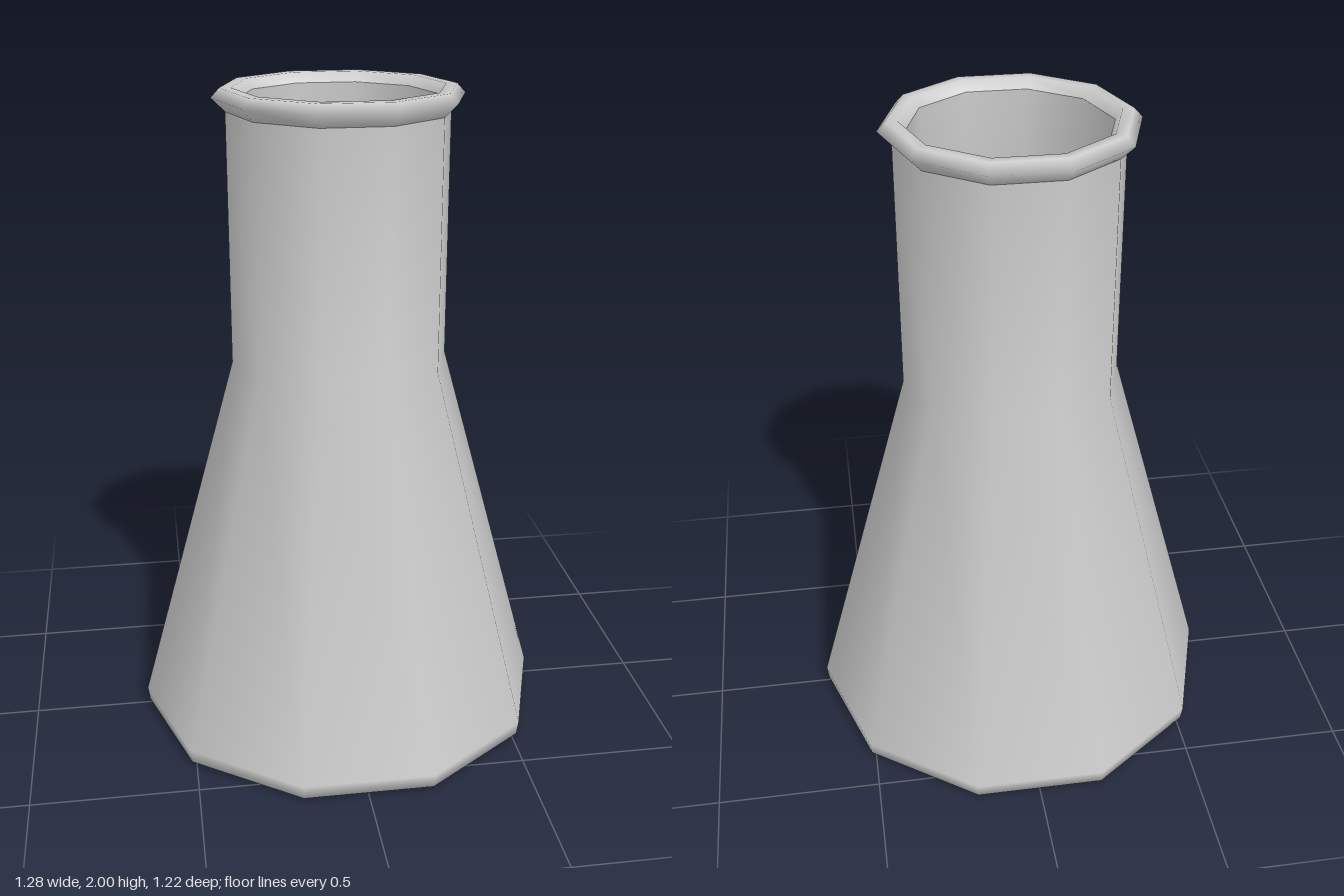
import * as THREE from 'three';

const SIDES = 10;

// Ten-sided turned part with a corner on +x
function turned(name, profile, material) {
  const points = profile.map(([r, y]) => new THREE.Vector2(r, y));
  const mesh = new THREE.Mesh(new THREE.LatheGeometry(points, SIDES, Math.PI / 2), material);
  mesh.name = name;
  return mesh;
}

export function createModel() {
  const group = new THREE.Group();
  group.name = 'conicalFlask';
  const material = new THREE.MeshStandardMaterial({ color: 0xcccccc, side: THREE.DoubleSide });

  // Flat base with a softly rounded foot, sloping body and straight neck
  group.add(turned('outerWall', [
    [0, 0], [0.59, 0], [0.635, 0.012], [0.641, 0.055], [0.33, 1.18], [0.33, 1.935],
  ], material));

  // Flared rim
  group.add(turned('rim', [
    [0.33, 1.933], [0.37, 1.973], [0.345, 2.0], [0.312, 2.0], [0.292, 1.97],
  ], material));

  // Hollow inside, from the mouth down to the floor
  group.add(turned('innerWall', [
    [0.292, 1.97], [0.292, 1.17], [0.595, 0.06], [0.57, 0.04],
  ], material));
  group.add(turned('innerFloor', [[0.57, 0.04], [0, 0.04]], material));

  return group;
}
